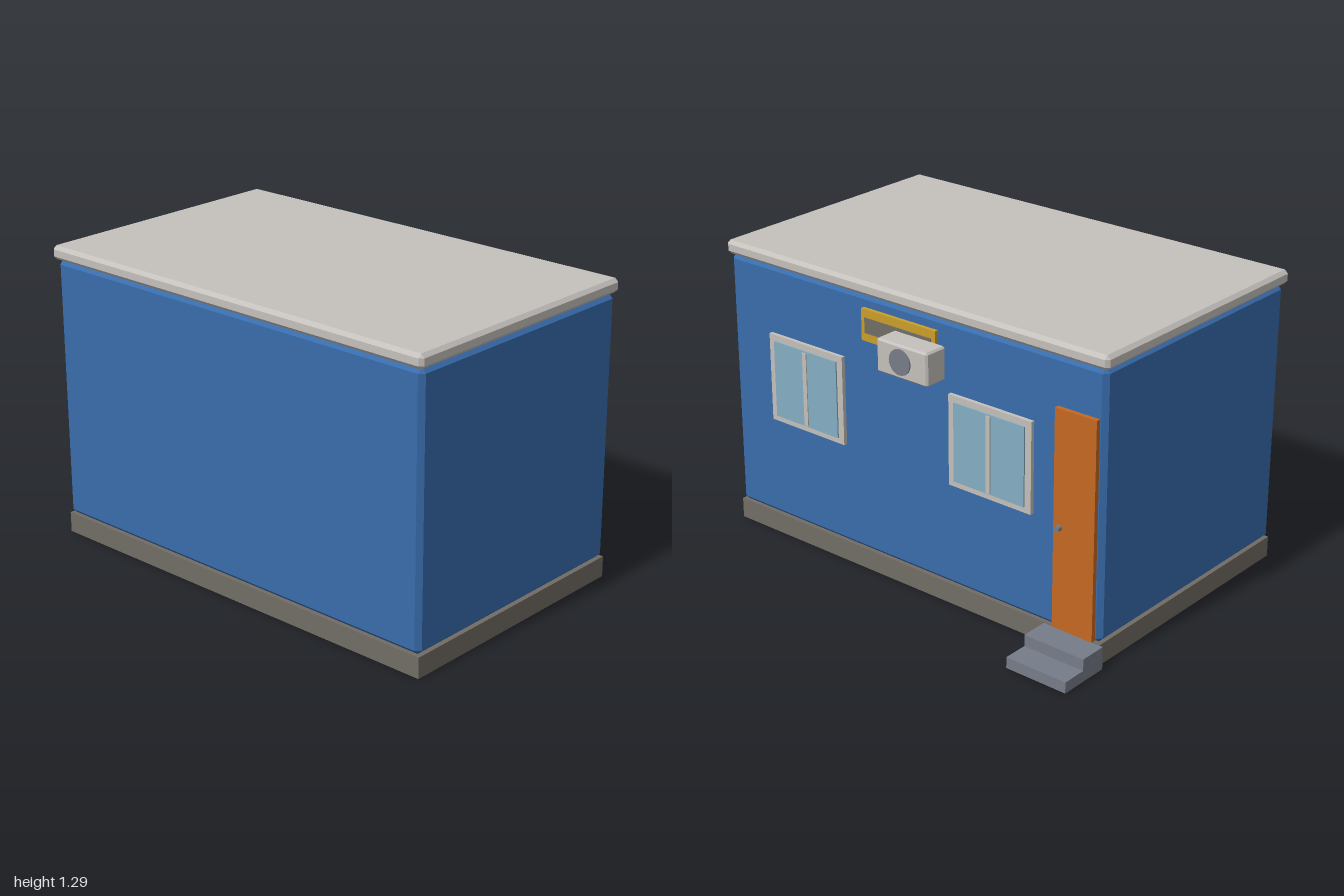
import * as THREE from 'three';
import { ConvexGeometry } from 'three/addons/geometries/ConvexGeometry.js';

const material = (name, color) => {
  const m = new THREE.MeshStandardMaterial({ color });
  m.name = name;
  return m;
};

export function createModel() {
  const group = new THREE.Group();
  group.name = 'cabin';

  const blue = material('wall blue', 0x386cac);
  const pale = material('pale grey', 0xc4c0bc);
  const stone = material('plinth grey', 0x716c65);
  const slate = material('slate grey', 0x767c88);
  const orange = material('door orange', 0xc46822);
  const yellow = material('sign yellow', 0xcc9e2a);
  const glass = material('window glass', 0x84aec2);

  const add = (name, geometry, mat, parent = group) => {
    const mesh = new THREE.Mesh(geometry, mat);
    mesh.name = name;
    parent.add(mesh);
    return mesh;
  };

  // Plain box between two corners
  const box = (name, mat, [x0, x1], [y0, y1], [z0, z1], parent) => {
    const g = new THREE.BoxGeometry(x1 - x0, y1 - y0, z1 - z0);
    g.translate((x0 + x1) / 2, (y0 + y1) / 2, (z0 + z1) / 2);
    return add(name, g, mat, parent);
  };

  // Box with flat chamfers of width c on every edge
  const chamferBox = (name, mat, [x0, x1], [y0, y1], [z0, z1], c) => {
    const half = [(x1 - x0) / 2, (y1 - y0) / 2, (z1 - z0) / 2];
    const points = [];
    for (const sx of [-1, 1]) for (const sy of [-1, 1]) for (const sz of [-1, 1]) {
      for (let axis = 0; axis < 3; axis++) {
        const p = [sx, sy, sz].map((s, i) => s * (half[i] - (i === axis ? 0 : c)));
        points.push(new THREE.Vector3(...p));
      }
    }
    const g = new ConvexGeometry(points);
    g.translate((x0 + x1) / 2, (y0 + y1) / 2, (z0 + z1) / 2);
    return add(name, g, mat);
  };

  // Disc or short rod pointing along +x
  const disc = (name, mat, r, [x0, x1], y, z) => {
    const g = new THREE.CylinderGeometry(r, r, x1 - x0, 24);
    g.rotateZ(-Math.PI / 2);
    g.translate((x0 + x1) / 2, y, z);
    return add(name, g, mat);
  };

  // Main shell
  box('plinth', stone, [-0.705, 0.47], [0, 0.09], [-0.975, 0.99]);
  chamferBox('walls', blue, [-0.705, 0.47], [0.09, 1.23], [-0.975, 0.988], 0.02);
  chamferBox('roof', pale, [-0.72, 0.485], [1.23, 1.29], [-0.99, 0.997], 0.015);

  // Door with knob
  box('door', orange, [0.46, 0.49], [0.1, 1.03], [-0.95, -0.755]);
  disc('doorKnobStem', slate, 0.006, [0.49, 0.497], 0.543, -0.789);
  disc('doorKnob', slate, 0.012, [0.495, 0.515], 0.543, -0.789);

  // Two-pane windows
  for (const z of [0.549, -0.435]) {
    const win = new THREE.Group();
    win.name = 'window';
    group.add(win);
    box('windowFrame', pale, [0.46, 0.487], [0.545, 0.935], [z - 0.207, z + 0.207], win);
    box('windowGlass', glass, [0.486, 0.493], [0.57, 0.908], [z - 0.177, z + 0.177], win);
    box('windowMullion', pale, [0.487, 0.497], [0.575, 0.902], [z - 0.011, z + 0.011], win);
  }

  // Sign board with dark panel
  box('signBoard', yellow, [0.465, 0.487], [1.042, 1.178], [-0.163, 0.227]);
  box('signPanel', stone, [0.485, 0.491], [1.078, 1.143], [-0.143, 0.207]);

  // Air conditioner
  chamferBox('airConditioner', pale, [0.482, 0.592], [0.988, 1.13], [-0.213, 0.05], 0.008);
  disc('airConditionerFan', slate, 0.054, [0.59, 0.598], 1.06, -0.075);

  // Two entrance steps as one stepped profile
  const profile = new THREE.Shape([
    [0.485, 0], [0.715, 0], [0.715, 0.048], [0.606, 0.048], [0.606, 0.098], [0.485, 0.098],
  ].map(([x, y]) => new THREE.Vector2(x, y)));
  const steps = new THREE.ExtrudeGeometry(profile, { depth: 0.287, bevelEnabled: false });
  steps.translate(0, 0, -1);
  add('entranceSteps', steps, slate);

  return group;
}
